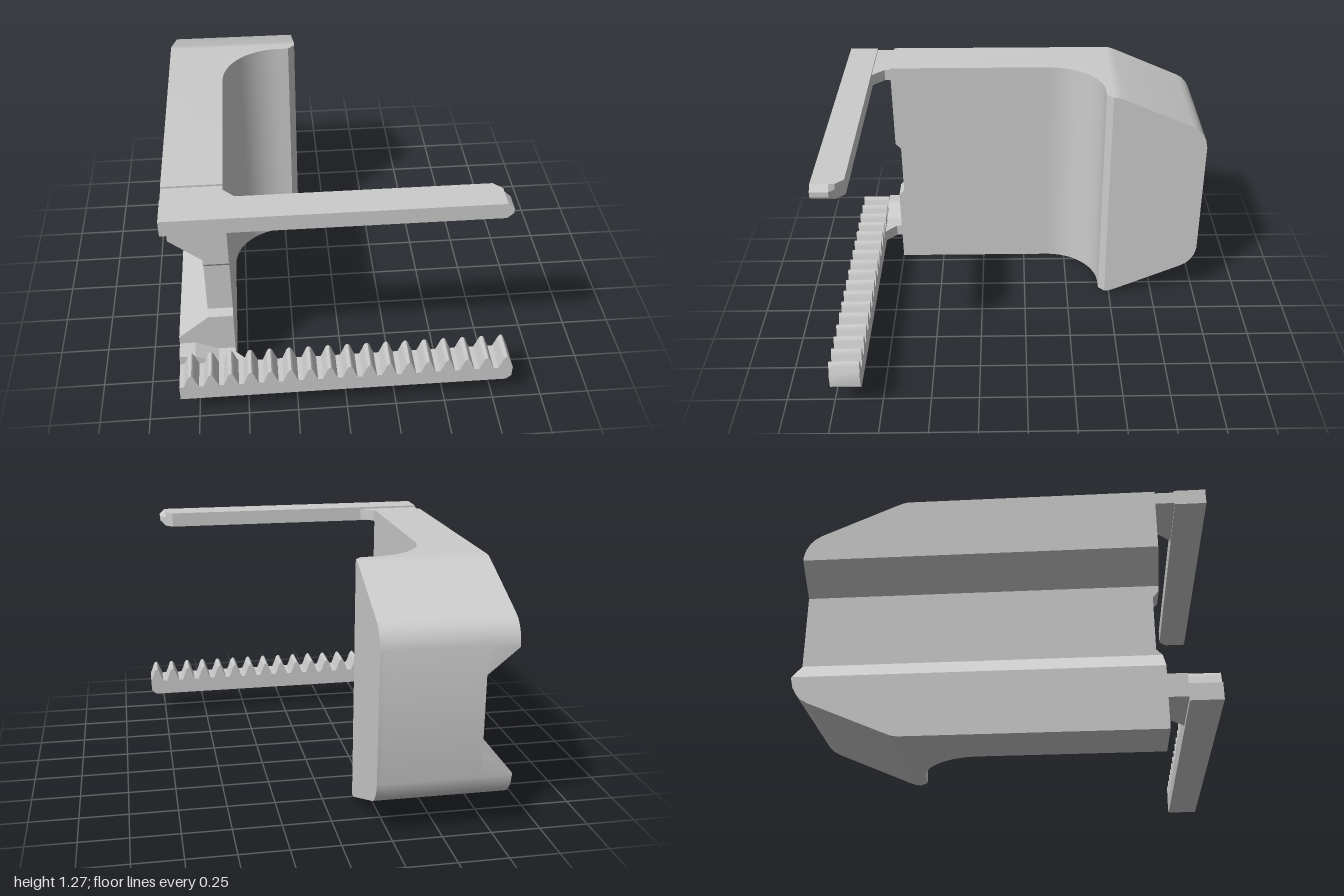
import * as THREE from 'three';
import { mergeGeometries, toCreasedNormals } from 'three/addons/utils/BufferGeometryUtils.js';

const H = 1.275; // body height

// Skin a stack of counter-clockwise [x, y] rings placed at depths z, with optional flat caps.
function loft(stations, capStart, capEnd) {
  const pos = [];
  const tri = (a, b, c) => {
    const n = b.clone().sub(a).cross(c.clone().sub(a));
    if (n.length() > 1e-9) for (const p of [a, b, c]) pos.push(p.x, p.y, p.z);
  };
  const rings = stations.map(([z, ring]) => ring.map(([x, y]) => new THREE.Vector3(x, y, z)));
  for (let i = 0; i + 1 < rings.length; i++) {
    const a = rings[i], b = rings[i + 1];
    a.forEach((p, j) => {
      const k = (j + 1) % a.length;
      tri(p, a[k], b[k]);
      tri(p, b[k], b[j]);
    });
  }
  const cap = (r, flip) => {
    const flat = r.map((p) => new THREE.Vector2(p.x, p.y));
    for (const [a, b, c] of THREE.ShapeUtils.triangulateShape(flat, [])) {
      if (flip) tri(r[a], r[c], r[b]); else tri(r[a], r[b], r[c]);
    }
  };
  if (capStart) cap(rings[0], true);
  if (capEnd) cap(rings[rings.length - 1], false);
  const g = new THREE.BufferGeometry();
  g.setAttribute('position', new THREE.Float32BufferAttribute(pos, 3));
  return g;
}

// Extrude an outline from depth z0 to z1.
function prism(points, z0, z1) {
  const shape = new THREE.Shape(points.map(([x, y]) => new THREE.Vector2(x, y)));
  return new THREE.ExtrudeGeometry(shape, { depth: z1 - z0, bevelEnabled: false }).translate(0, 0, z0);
}

function bodyGeometry() {
  // Rounded, sloping back edge; first axis is depth towards the back
  const lowBack = [[0.48, 0], [0.5, 0.002], [0.52, 0.008], [0.545, 0.018], [0.915, 0.18],
    [0.945, 0.198], [0.97, 0.224], [0.99, 0.26], [1, 0.305]];
  const topBack = lowBack.map(([u, y]) => [u, H - y]).reverse();
  const ring = (front, notch) => [
    [-front, 0], ...lowBack, ...topBack, [-front, H],
    [-front, 0.795], [-front + notch, 0.76], [-front + notch, 0.475], [-front, 0.445],
  ];

  // Slab, then the concave fillet out to the thick back block
  const stations = [[-0.68, ring(0.75, 0.03)], [-0.555, ring(0.75, 0.03)]];
  for (let i = 0; i <= 16; i++) {
    const t = (i / 16) * Math.PI / 2;
    stations.push([-0.255 - 0.3 * Math.cos(t), ring(-0.14 - 0.3 * Math.sin(t), 0)]);
  }
  stations.push([-0.2, ring(-0.44, 0)], [-0.165, ring(-0.475, 0)]);

  // Lips above and below the tapered groove, and the groove floor
  const upper = (g) => [[-0.75, g], [1, g], ...topBack, [-0.75, H]];
  const lower = (g) => [[-0.75, 0], ...lowBack, [1, g], [-0.75, g]];
  const floor = [[-0.75, 0.445], [1, 0.445], [1, 0.825], [-0.75, 0.825],
    [-0.75, 0.795], [-0.72, 0.76], [-0.72, 0.475]];
  const merged = mergeGeometries([
    loft(stations, false, true),
    loft([[-0.835, upper(0.955)], [-0.68, upper(0.825)]], true, false),
    loft([[-0.835, lower(0.315)], [-0.68, lower(0.445)]], true, false),
    loft([[-0.68, floor]], true, false),
  ]);
  return toCreasedNormals(merged.rotateY(Math.PI / 2), 0.4);
}

// Plain bar with a bevelled tip, cut back on its inner corner
function upperArmGeometry() {
  const y0 = 1.195, y1 = H;
  const ring = (cut) => {
    const a = Math.min(0.7, cut), b = Math.min(0.73, cut);
    return [[-0.835, y0], [a, y0], [b, y0 + 0.027], [b, y1 - 0.027], [a, y1], [-0.835, y1]];
  };
  const stations = [[0.845, 0.66], [0.885, 0.7], [0.912, 0.73], [1, 0.73]];
  return toCreasedNormals(loft(stations.map(([z, cut]) => [z, ring(cut)]), true, true), 0.2);
}

// Toothed bar
function rackGeometry() {
  const tooth = [[-0.037, 0.22], [-0.024, 0.252], [-0.017, 0.274], [-0.011, 0.287], [-0.004, 0.294]];
  const profile = [...tooth, ...tooth.map(([x, y]) => [-x, y]).reverse()];
  const points = [[-0.835, 0.22]];
  for (let i = 0; i < 17; i++) {
    for (const [x, y] of profile) points.push([-0.775 + i * 0.0982 + x, y]);
  }
  points.push([0.832, 0.16], [0.807, 0.135], [-0.835, 0.135]);
  return toCreasedNormals(prism(points, 0.845, 1), 0.5);
}

// Link between body and bar, widening towards the bar
function linkGeometry(y0, y1) {
  const plan = [[-0.835, -0.75], [-0.555, -0.75], [-0.555, -0.78], [-0.49, -0.845], [-0.835, -0.845]];
  return prism(plan, y0, y1).rotateX(-Math.PI / 2);
}

export function createModel() {
  const group = new THREE.Group();
  const material = new THREE.MeshStandardMaterial({ color: 0xcccccc });
  const add = (name, geometry) => {
    const mesh = new THREE.Mesh(geometry, material);
    mesh.name = name;
    group.add(mesh);
  };
  add('body', bodyGeometry());
  add('upperArm', upperArmGeometry());
  add('upperLink', linkGeometry(1.203, 1.265));
  add('toothedArm', rackGeometry());
  add('lowerLink', linkGeometry(0.155, 0.22));
  // Raised stiffener on top of the lower link
  add('lowerLinkRib', prism([[-0.835, 0.22], [-0.64, 0.22], [-0.755, 0.272], [-0.835, 0.272]], 0.75, 0.845));
  return group;
}
